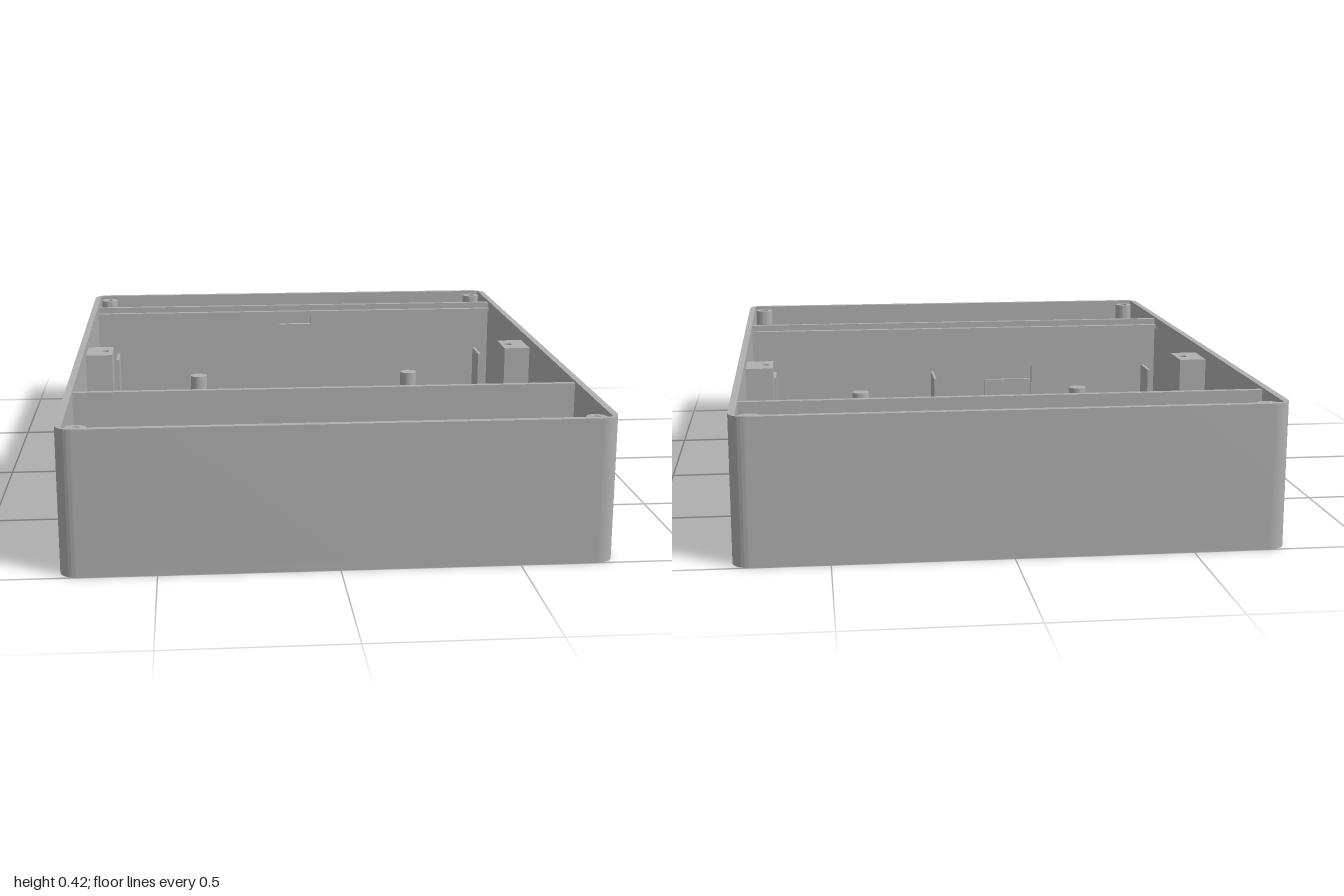
import * as THREE from 'three';
import { toCreasedNormals } from 'three/addons/utils/BufferGeometryUtils.js';

const W = 0.765, L = 1, H = 0.415, T = 0.02, R = 0.05, FLOOR = 0.02;

export function createModel() {
  const group = new THREE.Group();
  const grey = new THREE.MeshStandardMaterial({ color: 0xb0b0b0 });
  grey.name = 'grey plastic';

  const add = (name, geo, x = 0, y = 0, z = 0) => {
    const mesh = new THREE.Mesh(geo, grey);
    mesh.name = name;
    mesh.position.set(x, y, z);
    group.add(mesh);
    return mesh;
  };
  const extrude = (shape, depth) => toCreasedNormals(
    new THREE.ExtrudeGeometry(shape, { depth, bevelEnabled: false, curveSegments: 16 }), 0.5);
  // Plan shapes are drawn with y = -z and raised along y
  const raise = (shape, height) => extrude(shape, height).rotateX(-Math.PI / 2);
  const circleHole = (x, y, r) => new THREE.Path().absarc(x, y, r, 0, Math.PI * 2, true);
  const rectHole = (x0, x1, y0, y1) => new THREE.Path([[x0, y0], [x0, y1], [x1, y1], [x1, y0]]
    .map(([x, y]) => new THREE.Vector2(x, y)));
  const polygon = (pts) => new THREE.Shape(pts.map(([x, y]) => new THREE.Vector2(x, y)));
  // Box given by its extents
  const block = (name, x0, x1, y0, y1, z0, z1) => add(name,
    new THREE.BoxGeometry(x1 - x0, y1 - y0, z1 - z0), (x0 + x1) / 2, (y0 + y1) / 2, (z0 + z1) / 2);
  // Hollow round post
  const tube = (name, x, z, r, hole, top) => {
    const s = new THREE.Shape().absarc(0, 0, r, 0, Math.PI * 2, false);
    s.holes.push(circleHole(0, 0, hole));
    add(name, raise(s, top - FLOOR), x, FLOOR, z);
  };

  // Outline through the four rounded corners, starting and ending on the +x side
  const roundedOutline = () => new THREE.Shape()
    .moveTo(W, L - R)
    .absarc(W - R, L - R, R, 0, Math.PI / 2, false)
    .absarc(-W + R, L - R, R, Math.PI / 2, Math.PI, false)
    .absarc(-W + R, -L + R, R, Math.PI, Math.PI * 1.5, false)
    .absarc(W - R, -L + R, R, Math.PI * 1.5, Math.PI * 2, false);

  // Floor with four screw holes
  const mounts = [];
  for (const x of [-0.373, 0.373]) for (const z of [-0.48, 0.27]) mounts.push([x, z]);
  const floor = roundedOutline();
  for (const [x, z] of mounts) floor.holes.push(circleHole(x, -z, 0.018));
  add('floor', raise(floor, FLOOR));

  // Three outer walls and all four corners
  const walls = roundedOutline();
  const ix = W - T, iz = L - T;
  for (const [x, y] of [[ix, -L + R], [ix, -iz], [-ix, -iz], [-ix, iz], [ix, iz], [ix, L - R]]) walls.lineTo(x, y);
  add('outerWalls', raise(walls, H - FLOOR), 0, FLOOR, 0);

  // Fourth wall with a rounded port opening (drawn with x = -z)
  const side = polygon([[-L + R, FLOOR], [L - R, FLOOR], [L - R, H], [-L + R, H]]);
  const pr = 0.0175, py = 0.0625;
  side.holes.push(new THREE.Path()
    .moveTo(-0.80 + pr, py - pr)
    .absarc(-0.80 + pr, py, pr, Math.PI * 1.5, Math.PI / 2, true)
    .absarc(-0.71 - pr, py, pr, Math.PI / 2, -Math.PI / 2, true));
  add('portWall', extrude(side, T).rotateY(Math.PI / 2), ix, 0, 0);

  // Dividers: small slot at the back, wide cable opening at the front
  const top = 0.408;
  const back = polygon([[-ix, FLOOR], [ix, FLOOR], [ix, top], [-ix, top]]);
  back.holes.push(rectHole(-0.06, 0.06, 0.335, 0.365));
  add('backDivider', extrude(back, 0.018), 0, 0, -0.782);
  const front = polygon([[-ix, FLOOR], [-0.28, FLOOR], [-0.28, 0.24], [0.28, 0.24],
    [0.28, FLOOR], [ix, FLOOR], [ix, top], [-ix, top]]);
  add('frontDivider', extrude(front, 0.018), 0, 0, 0.55);
  block('backLedge', -ix, ix, 0.375, 0.388, -0.764, -0.745);
  block('frontLedge', -ix, ix, 0.375, 0.388, 0.53, 0.55);

  // Corner screw posts
  for (const x of [-0.71, 0.71]) for (const z of [-0.945, 0.945]) tube('cornerPost', x, z, 0.03, 0.013, 0.405);

  // Low rings around the floor holes and taller locating pins
  for (const [x, z] of mounts) tube('mountRing', x, z, 0.038, 0.018, 0.04);
  for (const x of [-0.373, 0.373]) for (const z of [-0.32, 0.11]) {
    add('pin', new THREE.CylinderGeometry(0.028, 0.028, 0.225, 28), x, FLOOR + 0.1125, z);
  }

  // Cable tie bridges, open along x
  const bridge = polygon([[-0.0575, 0], [-0.035, 0], [-0.035, 0.035], [0.035, 0.035],
    [0.035, 0], [0.0575, 0], [0.0575, 0.055], [-0.0575, 0.055]]);
  const bridgeGeo = extrude(bridge, 0.054).translate(0, 0, -0.027).rotateY(Math.PI / 2);
  for (const x of [-0.222, -0.068, 0.063, 0.217]) for (const z of [-0.318, 0.11]) {
    add('tieBridge', bridgeGeo, x, FLOOR, z);
  }

  for (const s of [-1, 1]) {
    // Square lid supports with a screw hole
    const p = polygon([[-0.043, -0.065], [0.043, -0.065], [0.043, 0.065], [-0.043, 0.065]]);
    p.holes.push(circleHole(-s * 0.018, 0, 0.013));
    add('lidSupport', raise(p, 0.365), s * 0.703, FLOOR, -0.105);
    // Thin upright fins beside the walls
    for (const z of [-0.555, 0.34]) {
      block('sideFin', s * 0.665 - 0.005, s * 0.665 + 0.005, FLOOR, 0.265, z - 0.056, z + 0.056);
    }
  }

  // Fins in the front compartment
  block('crossFin', -0.495, -0.13, FLOOR, 0.15, 0.75, 0.761);
  for (const x of [-0.68, 0.058]) block('frontFin', x - 0.005, x + 0.005, FLOOR, 0.15, 0.79, 0.94);

  // Tray behind the port with two small screw bosses
  block('trayWall', 0.525, ix, FLOOR, 0.062, 0.65, 0.672);
  block('trayWall', 0.525, ix, FLOOR, 0.062, 0.828, 0.85);
  block('trayEnd', 0.525, 0.537, FLOOR, 0.062, 0.672, 0.828);
  for (const z of [0.627, 0.877]) tube('trayBoss', 0.705, z, 0.022, 0.009, 0.062);

  return group;
}
